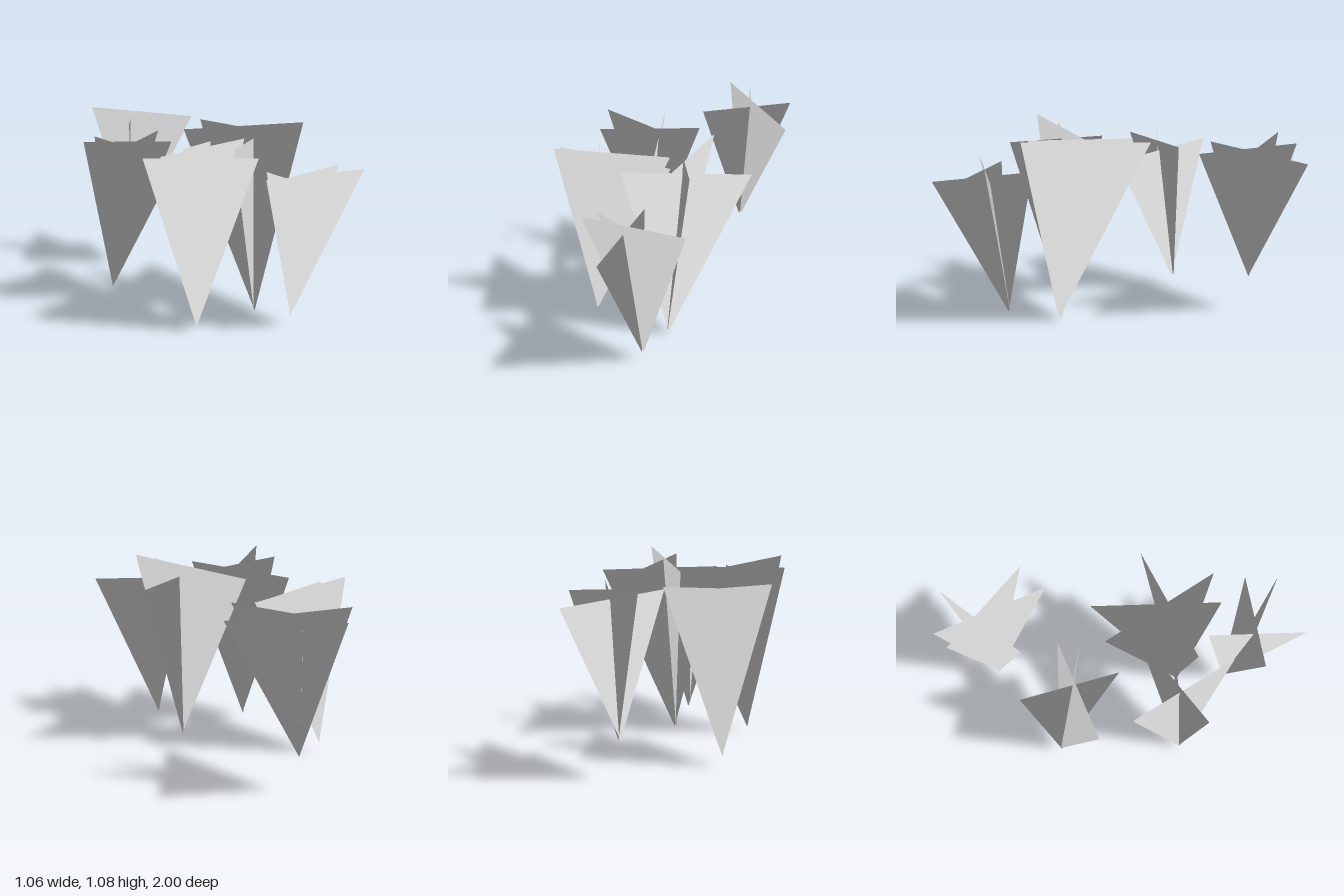
import * as THREE from 'three';

// Each tuft: a base point, a shared soft shading normal, and three crossed
// blades, each given by its two upper tips.
const TUFTS = [
  { name: 'leftFrontTuft', base: [-0.30, 0.035, 0.32], normal: [0.1, 0.95, 0.25], blades: [
    [[-0.505, 1.0, 0.285], [0.135, 0.99, 0.25]],
    [[-0.405, 0.93, 0.03], [-0.10, 0.975, 0.575]],
    [[-0.465, 1.055, 0.41], [0.05, 0.96, 0.075]]] },
  { name: 'rightMiddleTuft', base: [0.15, 0.005, 0.325], normal: [0.38, 0.92, -0.12], blades: [
    [[0.205, 1.025, -0.17], [0.195, 1.04, 0.52]],
    [[0.01, 1.005, -0.10], [0.345, 1.085, 0.485]],
    [[-0.085, 0.985, 0.385], [0.53, 0.978, 0.11]]] },
  { name: 'leftBackTuft', base: [-0.30, 0.07, -0.39], normal: [0.2, 0.92, -0.33], blades: [
    [[-0.27, 0.935, -0.55], [-0.105, 0.845, -0.03]],
    [[-0.495, 0.93, -0.145], [0.04, 0.955, -0.35]],
    [[-0.53, 0.982, -0.31], [0.04, 0.91, -0.235]]] },
  { name: 'frontTuft', base: [0.135, 0.062, 0.605], normal: [-0.06, 0.87, 0.45], blades: [
    [[0.087, 0.85, 0.46], [0.10, 0.815, 0.998]],
    [[-0.12, 0.90, 0.745], [0.415, 0.875, 0.68]],
    [[-0.095, 0.87, 0.625], [0.405, 0.885, 0.858]]] },
  { name: 'backTuft', base: [0.16, 0.225, -0.75], normal: [-0.42, 0.89, 0.15], blades: [
    [[0.10, 0.975, -1.0], [0.34, 0.99, -0.405]],
    [[0.0, 1.02, -0.92], [0.49, 0.95, -0.545]],
    [[0.37, 0.925, -0.985], [-0.02, 0.97, -0.54]]] },
];

// Flat tapering blade, wound so its front lies on the side of the tuft's normal.
function makeBlade(base, normal, tips, material) {
  const [a, b] = tips.map((tip) => new THREE.Vector3(...tip));
  const along = b.clone().sub(a).setY(0).normalize();
  const foot = new THREE.Vector3(...base).addScaledVector(along, 0.008);
  const shade = new THREE.Vector3(...normal).normalize();
  const facing = new THREE.Triangle(foot, b, a).getNormal(new THREE.Vector3());
  const corners = facing.dot(shade) > 0 ? [foot, b, a] : [foot, a, b];
  const geometry = new THREE.BufferGeometry().setFromPoints(corners);
  const normals = corners.flatMap(() => shade.toArray());
  geometry.setAttribute('normal', new THREE.Float32BufferAttribute(normals, 3));
  const blade = new THREE.Mesh(geometry, material);
  blade.name = 'blade';
  return blade;
}

export function createModel() {
  const model = new THREE.Group();
  model.name = 'grassTufts';
  const material = new THREE.MeshStandardMaterial({ color: 0xcccccc, side: THREE.DoubleSide });
  material.name = 'light grey';
  for (const { name, base, normal, blades } of TUFTS) {
    const tuft = new THREE.Group();
    tuft.name = name;
    for (const tips of blades) tuft.add(makeBlade(base, normal, tips, material));
    model.add(tuft);
  }
  return model;
}
